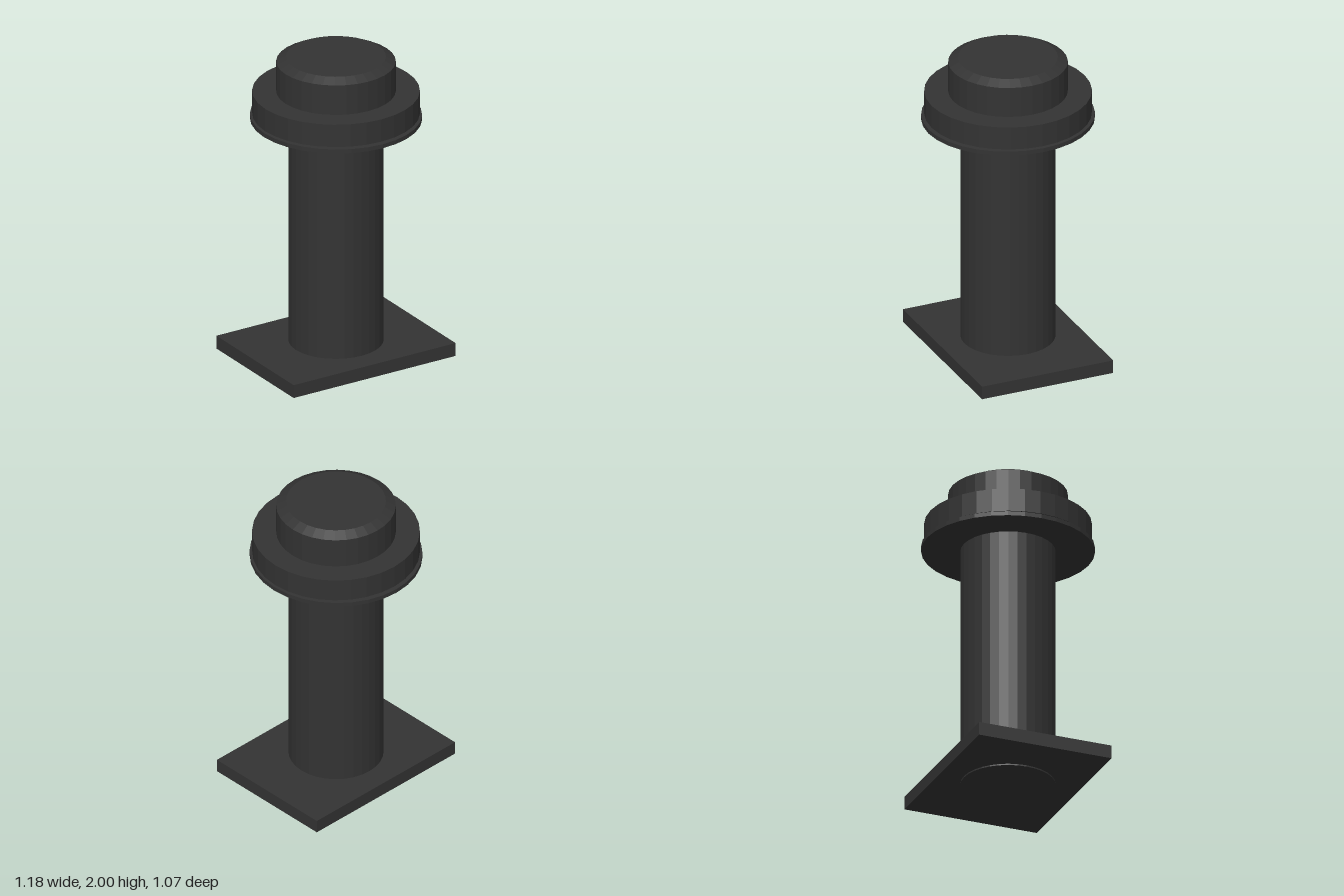
import * as THREE from 'three';

const SIDES = 32;

export function createModel() {
  const model = new THREE.Group();
  model.name = 'bollard';
  const material = new THREE.MeshStandardMaterial({ color: 0x333333, flatShading: true });

  function add(name, geometry, y) {
    const mesh = new THREE.Mesh(geometry, material);
    mesh.name = name;
    mesh.position.set(-0.002, y, -0.002);
    model.add(mesh);
    return mesh;
  }

  // Upright disc between two heights
  function disc(name, radius, bottom, top) {
    return add(name, new THREE.CylinderGeometry(radius, radius, top - bottom, SIDES), (bottom + top) / 2);
  }

  // Rectangular foot plate, with the shaft just poking out below
  add('basePlate', new THREE.BoxGeometry(1.18, 0.086, 0.884), 0.052);
  disc('shaft', 0.293, 0, 1.7);

  // Thin, slightly oval washer and the thick collar above it
  disc('washer', 0.527, 1.584, 1.611).scale.z = 1.018;
  disc('collar', 0.516, 1.62, 1.77);

  // Cap with a bevelled top edge
  const capProfile = [[0, 1.7], [0.368, 1.7], [0.368, 1.968], [0.307, 2], [0, 2]]
    .map(([r, y]) => new THREE.Vector2(r, y));
  add('cap', new THREE.LatheGeometry(capProfile, SIDES), 0);

  return model;
}
